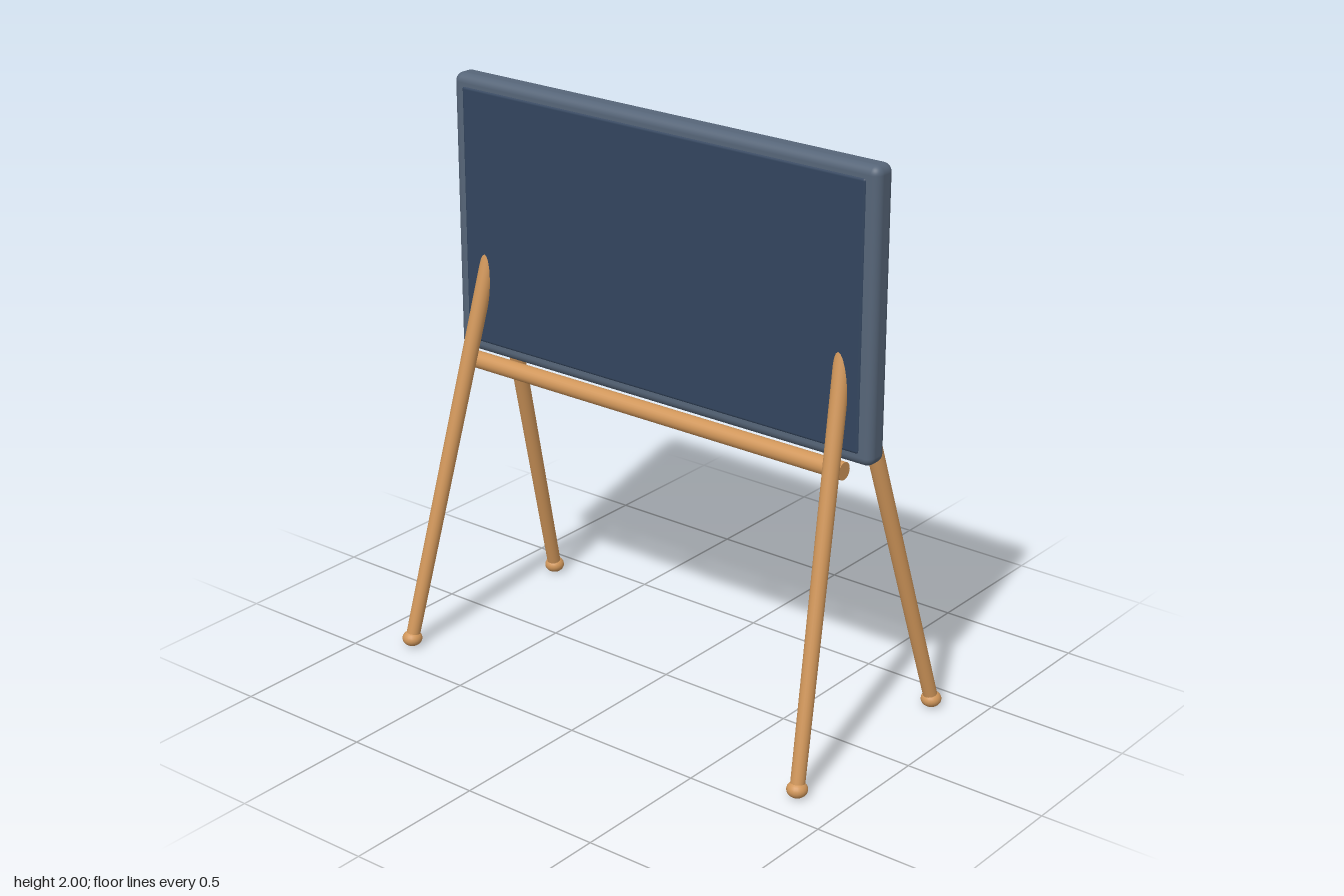
import * as THREE from 'three';
import { RoundedBoxGeometry } from 'three/addons/geometries/RoundedBoxGeometry.js';

function mat(name, color) {
  const m = new THREE.MeshStandardMaterial({ color });
  m.name = name;
  return m;
}

export function createModel() {
  const model = new THREE.Group();
  model.name = 'easelDisplay';

  const frameMat = mat('slate grey', 0x566578);
  const screenMat = mat('dark blue', 0x33455e);
  const boxMat = mat('charcoal', 0x3b4049);
  const woodMat = mat('wood', 0xd0965a);

  const add = (name, geometry, material, x, y, z) => {
    const mesh = new THREE.Mesh(geometry, material);
    mesh.name = name;
    mesh.position.set(x, y, z);
    model.add(mesh);
    return mesh;
  };

  // Display panel, with the screen standing just proud of its front
  add('frame', new RoundedBoxGeometry(1.716, 0.976, 0.088, 5, 0.03), frameMat, 0, 1.512, 0.02);
  add('screen', new RoundedBoxGeometry(1.63, 0.896, 0.03, 3, 0.01), screenMat, 0, 1.512, 0.053);

  // Electronics housing on the back
  add('backHousing', new RoundedBoxGeometry(0.77, 0.44, 0.08, 4, 0.025), boxMat, 0, 1.49, -0.04);

  // Cross bar under the panel
  const bar = add('crossBar', new THREE.CylinderGeometry(0.03, 0.03, 1.54, 24), woodMat, 0, 1.0, 0.075);
  bar.rotation.z = Math.PI / 2;

  // Four splayed legs meeting inside the panel, each with a rounded foot
  const up = new THREE.Vector3(0, 1, 0);
  for (const sx of [1, -1]) {
    for (const sz of [1, -1]) {
      const label = (sz > 0 ? 'front' : 'back') + (sx > 0 ? 'Left' : 'Right');
      const foot = new THREE.Vector3(sx * 0.834, 0.028, sz * 0.382);
      const top = new THREE.Vector3(sx * 0.725, 1.46, 0.02);
      const dir = top.clone().sub(foot);
      const mid = foot.clone().add(top).multiplyScalar(0.5);
      const leg = add(label + 'Leg', new THREE.CylinderGeometry(0.029, 0.024, dir.length(), 20),
        woodMat, mid.x, mid.y, mid.z);
      leg.quaternion.setFromUnitVectors(up, dir.normalize());
      const pad = add(label + 'Foot', new THREE.SphereGeometry(0.035, 20, 14), woodMat, foot.x, foot.y, foot.z);
      pad.scale.y = 0.8;
    }
  }
  return model;
}
